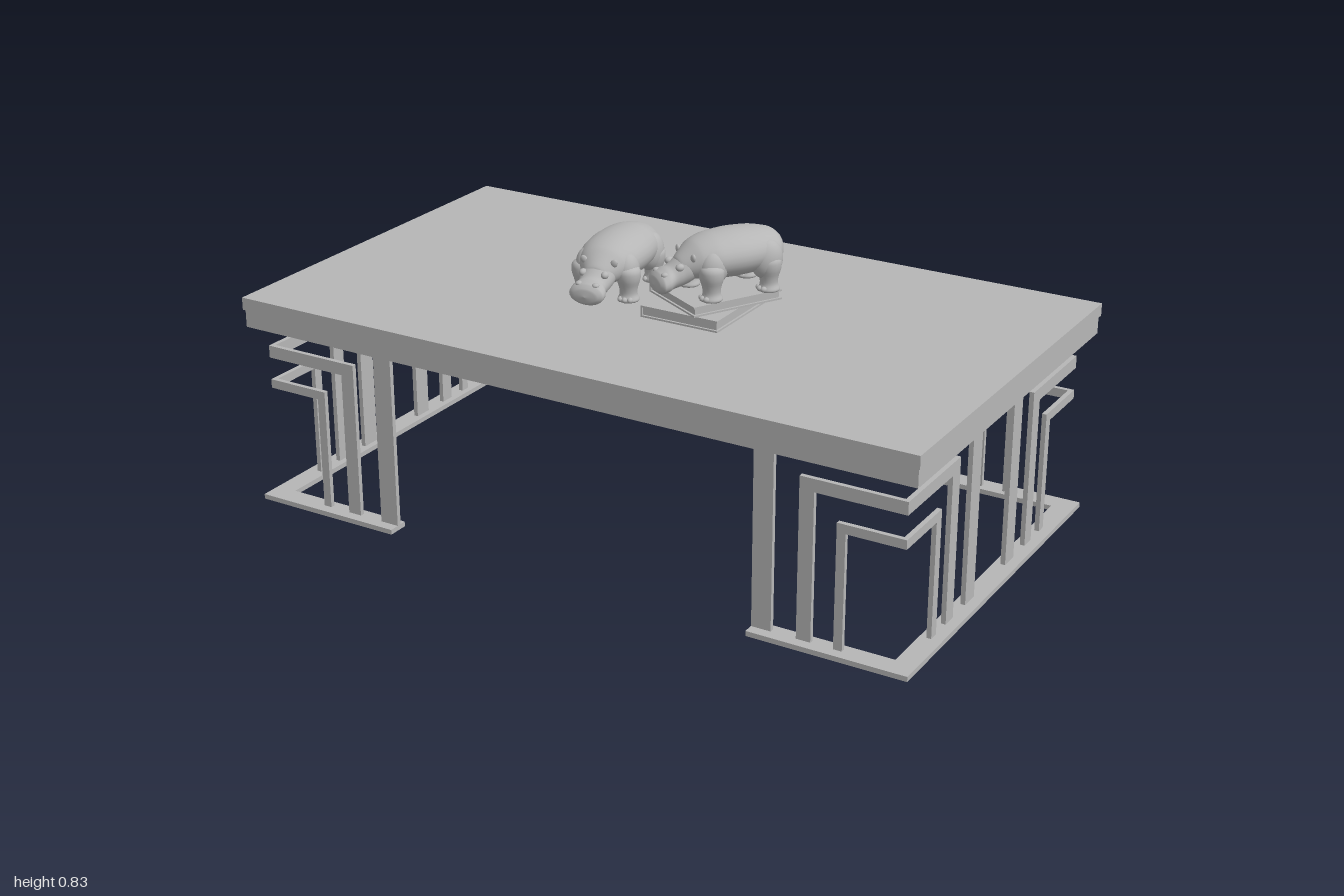
import * as THREE from 'three';

const grey = new THREE.MeshStandardMaterial({ color: 0xb6b6b6 });
grey.name = 'grey';

function add(parent, name, geometry, x = 0, y = 0, z = 0) {
  const mesh = new THREE.Mesh(geometry, grey);
  mesh.name = name;
  mesh.position.set(x, y, z);
  parent.add(mesh);
  return mesh;
}

// Box given by its extents on each axis
function block(parent, name, [x0, x1], [y0, y1], [z0, z1]) {
  const g = new THREE.BoxGeometry(Math.abs(x1 - x0), y1 - y0, Math.abs(z1 - z0));
  return add(parent, name, g, (x0 + x1) / 2, (y0 + y1) / 2, (z0 + z1) / 2);
}

function ellipsoid(parent, name, [rx, ry, rz], x, y, z) {
  return add(parent, name, new THREE.SphereGeometry(1, 20, 14).scale(rx, ry, rz), x, y, z);
}

// Smooth skin through elliptical sections [z, centre y, half width, half height]
function loft(sections, rings = 48, sides = 28) {
  const path = new THREE.CatmullRomCurve3(sections.map(s => new THREE.Vector3(s[0], s[1], 0)));
  const size = new THREE.CatmullRomCurve3(sections.map(s => new THREE.Vector3(s[2], s[3], 0)));
  const positions = [], index = [];
  for (let i = 0; i <= rings; i++) {
    const p = path.getPoint(i / rings), r = size.getPoint(i / rings);
    for (let j = 0; j < sides; j++) {
      const a = (j / sides) * Math.PI * 2;
      positions.push(Math.max(r.x, 0.0005) * Math.cos(a), p.y + Math.max(r.y, 0.0005) * Math.sin(a), p.x);
      if (i < rings) {
        const k = (j + 1) % sides, a0 = i * sides + j, b0 = i * sides + k;
        index.push(a0, b0, a0 + sides, b0, b0 + sides, a0 + sides);
      }
    }
  }
  const g = new THREE.BufferGeometry();
  g.setAttribute('position', new THREE.Float32BufferAttribute(positions, 3));
  g.setIndex(index);
  g.computeVertexNormals();
  return g;
}

// Hippo figurine facing +z, standing on y = 0
function hippo(name) {
  const h = new THREE.Group();
  h.name = name;
  add(h, 'body', loft([
    [-0.176, 0.1, 0, 0], [-0.172, 0.1, 0.035, 0.03], [-0.15, 0.1, 0.068, 0.05],
    [-0.1, 0.102, 0.085, 0.06], [-0.03, 0.102, 0.091, 0.063], [0.03, 0.1, 0.087, 0.06],
    [0.075, 0.096, 0.07, 0.05], [0.1, 0.088, 0.052, 0.04], [0.125, 0.08, 0.03, 0.025], [0.13, 0.08, 0, 0],
  ]));
  add(h, 'head', loft([
    [0.06, 0.09, 0, 0], [0.07, 0.09, 0.045, 0.04], [0.1, 0.079, 0.049, 0.042],
    [0.125, 0.066, 0.045, 0.037], [0.145, 0.057, 0.042, 0.032], [0.163, 0.051, 0.05, 0.032],
    [0.178, 0.047, 0.05, 0.029], [0.188, 0.045, 0.035, 0.019], [0.192, 0.044, 0, 0],
  ]));
  const leg = [[0, 0], [0.027, 0], [0.03, 0.006], [0.024, 0.02], [0.026, 0.04], [0.033, 0.065], [0.03, 0.09], [0, 0.105]];
  const legCurve = new THREE.SplineCurve(leg.slice(1).map(p => new THREE.Vector2(...p)));
  const legProfile = [new THREE.Vector2(0, 0), ...legCurve.getPoints(20)];
  for (const s of [-1, 1]) {
    add(h, 'frontLeg', new THREE.LatheGeometry(legProfile, 18), s * 0.066, 0, 0.055);
    add(h, 'backLeg', new THREE.LatheGeometry(legProfile, 18), s * 0.062, 0, -0.115);
    ellipsoid(h, 'thigh', [0.036, 0.055, 0.046], s * 0.056, 0.085, -0.11);
    ellipsoid(h, 'shoulder', [0.032, 0.046, 0.04], s * 0.058, 0.085, 0.045);
    for (const t of [-1, 0, 1]) {
      ellipsoid(h, 'toe', [0.008, 0.008, 0.01], s * 0.066 + t * 0.014, 0.008, 0.08 - Math.abs(t) * 0.004);
      ellipsoid(h, 'toe', [0.008, 0.008, 0.01], s * 0.062 + t * 0.014, 0.008, -0.09 - Math.abs(t) * 0.004);
    }
    ellipsoid(h, 'ear', [0.01, 0.012, 0.006], s * 0.044, 0.114, 0.098).rotation.z = -s * 0.6;
    ellipsoid(h, 'eye', [0.01, 0.01, 0.012], s * 0.032, 0.09, 0.13);
    ellipsoid(h, 'nostril', [0.01, 0.007, 0.01], s * 0.024, 0.073, 0.17);
  }
  const tail = new THREE.CatmullRomCurve3([
    new THREE.Vector3(0, 0.125, -0.166), new THREE.Vector3(0, 0.11, -0.178), new THREE.Vector3(0, 0.08, -0.176)]);
  add(h, 'tail', new THREE.TubeGeometry(tail, 10, 0.006, 8));
  ellipsoid(h, 'tailTip', [0.006, 0.009, 0.006], 0, 0.078, -0.176);
  return h;
}

// Closed book lying flat: covers, spine and inset pages
function book(name, w, d, t) {
  const b = new THREE.Group();
  b.name = name;
  const c = 0.005, x = [-w / 2, w / 2], z = [-d / 2, d / 2];
  block(b, 'bottomCover', x, [0, c], z);
  block(b, 'topCover', x, [t - c, t], z);
  block(b, 'spine', [-w / 2, -w / 2 + c], [c, t - c], z);
  block(b, 'pages', [-w / 2 + c, w / 2 - 0.006], [c, t - c], [-d / 2 + 0.006, d / 2 - 0.006]);
  return b;
}

export function createModel() {
  const model = new THREE.Group();
  model.name = 'coffeeTable';

  // Table top with a hollow apron beneath
  block(model, 'tableTop', [-1, 1], [0.565, 0.6], [-0.57, 0.57]);
  for (const s of [-1, 1]) {
    block(model, 'longApron', [-0.995, 0.995], [0.515, 0.565], [s * 0.505, s * 0.565]);
    block(model, 'shortApron', [s * 0.935, s * 0.995], [0.515, 0.565], [-0.505, 0.505]);
  }

  // U-shaped foot rails at each end
  for (const s of [-1, 1]) {
    block(model, 'footRail', [s * 0.925, s * 0.985], [0, 0.014], [-0.555, 0.555]);
    for (const f of [-1, 1])
      block(model, 'footReturn', [s * 0.545, s * 0.925], [0, 0.014], [f * 0.495, f * 0.555]);
  }

  // Corner legs: a full post and two nested angled bands on each face
  const X0 = 0.943, X1 = 0.956, Z0 = 0.513, Z1 = 0.526;
  const bands = [
    { top: 0.455, low: 0.42, x: [0.67, 0.71], z: [0.23, 0.273] },
    { top: 0.356, low: 0.331, x: [0.772, 0.796], z: [0.33, 0.358] },
  ];
  for (const s of [-1, 1]) for (const f of [-1, 1]) {
    const leg = new THREE.Group();
    leg.name = 'cornerLeg';
    model.add(leg);
    const sx = r => r.map(v => v * s), fz = r => r.map(v => v * f);
    const front = fz([Z0, Z1]), side = sx([X0, X1]);
    block(leg, 'longSidePost', sx([0.545, 0.6]), [0.014, 0.515], front);
    block(leg, 'endPost', side, [0.014, 0.515], fz([0.1, 0.155]));
    for (const b of bands) {
      block(leg, 'longSideUpright', sx(b.x), [0.014, b.low], front);
      block(leg, 'longSideBar', sx([b.x[0], X1]), [b.low, b.top], front);
      block(leg, 'endUpright', side, [0.014, b.low], fz(b.z));
      block(leg, 'endBar', side, [b.low, b.top], fz([b.z[0], Z0]));
    }
  }

  // Stacked books
  const lower = book('lowerBook', 0.232, 0.296, 0.032);
  lower.position.set(0.11, 0.6, -0.003);
  const upper = book('upperBook', 0.228, 0.27, 0.028);
  upper.position.set(0.134, 0.638, -0.007);
  upper.rotation.y = -0.5;
  model.add(lower, upper);
  block(model, 'bookSpacer', [0.03, 0.19], [0.632, 0.638], [-0.1, 0.08]);

  // Two hippo figurines
  const floorHippo = hippo('tableHippo');
  floorHippo.position.set(-0.17, 0.6, 0.008);
  floorHippo.rotation.y = 0.12;
  const bookHippo = hippo('bookHippo');
  bookHippo.position.set(0.155, 0.666, 0.012);
  bookHippo.rotation.y = -0.58;
  model.add(floorHippo, bookHippo);
  return model;
}
